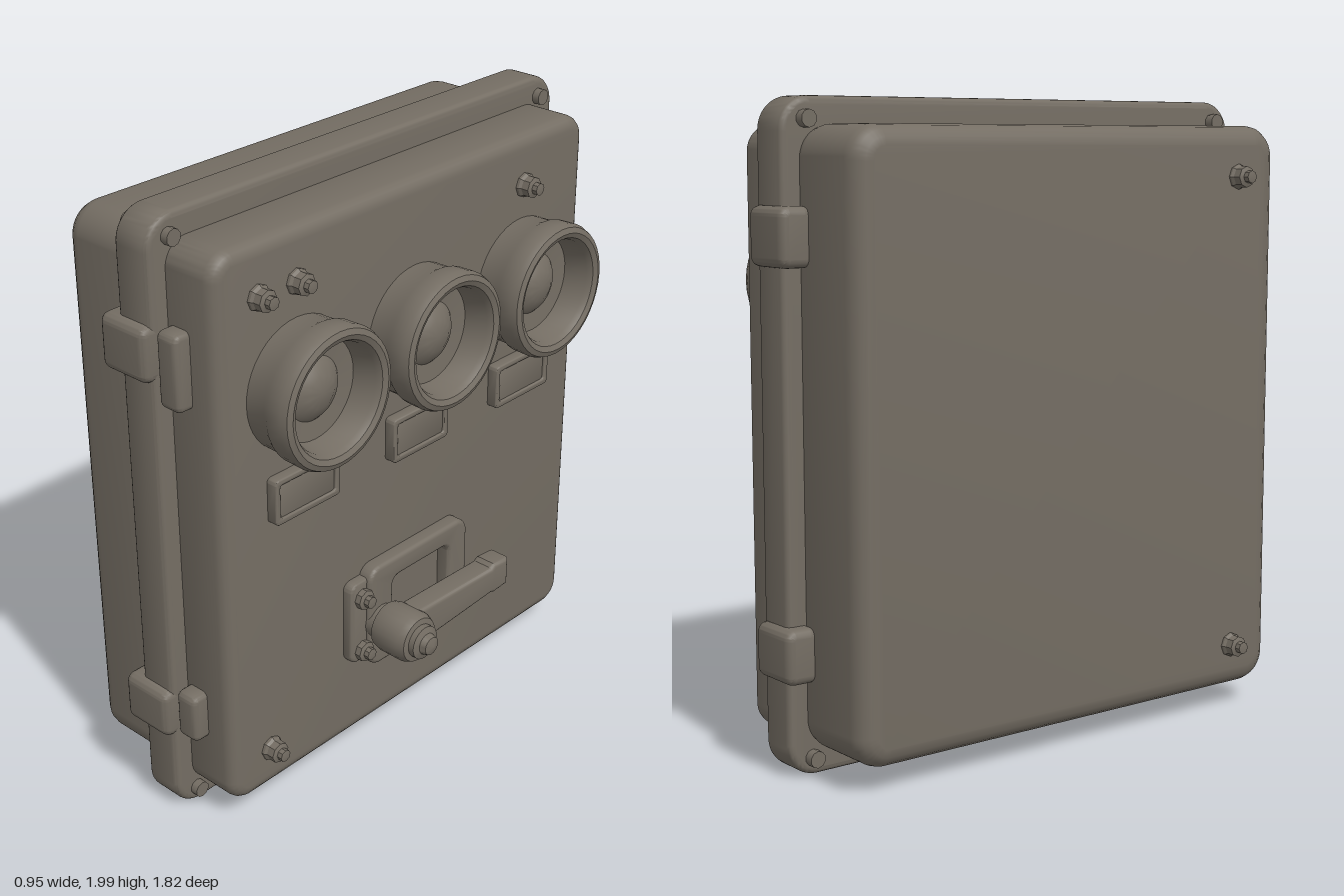
import * as THREE from 'three';
import { toCreasedNormals } from 'three/addons/utils/BufferGeometryUtils.js';

const paint = new THREE.MeshStandardMaterial({ color: 0x746d63 });
paint.name = 'grey brown paint';

// Outline of a rounded rectangle
function roundRect(Type, u0, u1, y0, y1, r) {
  const s = new Type();
  s.moveTo(u0 + r, y0);
  s.lineTo(u1 - r, y0);
  s.absarc(u1 - r, y0 + r, r, -Math.PI / 2, 0);
  s.lineTo(u1, y1 - r);
  s.absarc(u1 - r, y1 - r, r, 0, Math.PI / 2);
  s.lineTo(u0 + r, y1);
  s.absarc(u0 + r, y1 - r, r, Math.PI / 2, Math.PI);
  s.lineTo(u0, y0 + r);
  s.absarc(u0 + r, y0 + r, r, Math.PI, Math.PI * 1.5);
  return s;
}

// Extrude a shape between depths d0 and d1 with rounded edges
function extrude(shape, d0, d1, bevel) {
  const g = new THREE.ExtrudeGeometry(shape, {
    depth: d1 - d0 - 2 * bevel, bevelEnabled: true, bevelSize: bevel, bevelOffset: -bevel,
    bevelThickness: bevel, bevelSegments: 4, curveSegments: 8,
  });
  g.translate(0, 0, d0 + bevel);
  return toCreasedNormals(g, 0.6);
}

const slab = (u0, u1, y0, y1, r, d0, d1, bevel) =>
  extrude(roundRect(THREE.Shape, u0, u1, y0, y1, r), d0, d1, bevel);

// Turned part facing outwards: list of [radius, depth]
function turned(points, segments) {
  const g = new THREE.LatheGeometry(points.map(([r, d]) => new THREE.Vector2(r, d)), segments);
  g.rotateX(Math.PI / 2);
  return toCreasedNormals(g, 0.6);
}

export function createModel() {
  const model = new THREE.Group();
  model.name = 'instrumentCabinet';
  // Built with the panel facing z, then turned to face +x
  const cabinet = new THREE.Group();
  cabinet.name = 'cabinet';
  cabinet.rotation.y = Math.PI / 2;
  model.add(cabinet);

  function add(name, geometry, u = 0, y = 0, d = 0, parent = cabinet) {
    const mesh = new THREE.Mesh(geometry, paint);
    mesh.name = name;
    mesh.position.set(u, y, d);
    parent.add(mesh);
    return mesh;
  }

  // Case, rim and door
  add('backCase', slab(-0.82, 0.82, 0.085, 1.92, 0.1, -0.41, -0.08, 0.06));
  add('rim', slab(-0.88, 0.88, 0.01, 2, 0.1, -0.12, 0.015, 0.02));
  add('door', slab(-0.815, 0.815, 0.085, 1.92, 0.08, -0.03, 0.2, 0.04));

  // Rivets through the rim corners
  const rivet = new THREE.CylinderGeometry(0.026, 0.026, 0.19, 10).rotateX(Math.PI / 2);
  for (const u of [-0.8, 0.8]) {
    for (const y of [0.065, 1.935]) add('rimRivet', rivet, u, y, -0.055);
  }

  // Clamps over the rim, with hinge leaves on the left edge only
  for (const [y0, y1] of [[0.305, 0.47], [1.515, 1.69]]) {
    for (const side of [-1, 1]) {
      const u = side < 0 ? -0.91 : 0.8;
      add('clamp', slab(u, u + 0.11, y0, y1, 0.03, -0.17, 0.015, 0.025));
    }
  }
  for (const [y0, y1] of [[0.31, 0.475], [1.44, 1.68]]) {
    add('hingeLeaf', slab(-0.87, -0.79, y0, y1, 0.025, 0.02, 0.1, 0.018));
  }

  // Bolts on the door and the back
  const bolt = turned([[0.04, 0], [0.04, 0.012], [0.034, 0.02], [0.034, 0.045],
    [0.02, 0.05], [0.02, 0.068], [0, 0.072]], 8);
  for (const [u, y] of [[-0.65, 1.76], [-0.5, 1.76], [0.51, 1.76], [-0.65, 0.23]]) {
    add('doorBolt', bolt, u, y, 0.197);
  }
  for (const y of [0.23, 1.76]) {
    add('backBolt', bolt, -0.64, y, -0.405).rotation.y = Math.PI;
  }

  // Round gauges with recessed dials
  const gauge = turned([[0.205, 0.18], [0.208, 0.27], [0.218, 0.29], [0.22, 0.345], [0.212, 0.365],
    [0.195, 0.372], [0.178, 0.364], [0.168, 0.345], [0.16, 0.265], [0.1, 0.26],
    [0.085, 0.275], [0.05, 0.295], [0, 0.302]], 40);
  for (const u of [-0.5, 0, 0.5]) add('gauge', gauge, u, 1.445, 0);

  // Label plates with a raised border
  for (const u of [-0.5, 0, 0.5]) {
    const w = u === 0 ? 0.128 : 0.135;
    const frame = roundRect(THREE.Shape, u - w, u + w, 1.035, 1.185, 0.015);
    frame.holes.push(roundRect(THREE.Path, u - w + 0.02, u + w - 0.02, 1.055, 1.165, 0.01));
    add('labelFrame', extrude(frame, 0.19, 0.236, 0.005));
    add('labelPlate', slab(u - w + 0.01, u + w - 0.01, 1.045, 1.175, 0.01, 0.19, 0.228, 0.004));
  }

  // Handle: slotted base, side lug, lever and pivot
  const handle = new THREE.Group();
  handle.name = 'handle';
  cabinet.add(handle);
  const base = roundRect(THREE.Shape, -0.25, 0.22, 0.34, 0.705, 0.05);
  base.holes.push(roundRect(THREE.Path, -0.14, 0.13, 0.43, 0.635, 0.03));
  add('handleBase', extrude(base, 0.19, 0.25, 0.014), 0, 0, 0, handle);
  add('handleLug', slab(-0.32, -0.2, 0.38, 0.675, 0.03, 0.19, 0.235, 0.012), 0, 0, 0, handle);
  for (const y of [0.42, 0.615]) add('lugBolt', bolt, -0.27, y, 0.21, handle);

  const lever = new THREE.Shape([[-0.2, 0.435], [0.21, 0.46], [0.225, 0.455], [0.295, 0.46],
    [0.295, 0.56], [0.225, 0.565], [0.21, 0.555], [-0.2, 0.565]].map(([u, y]) => new THREE.Vector2(u, y)));
  add('lever', extrude(lever, 0.285, 0.37, 0.015), 0, 0, 0, handle);
  add('pivot', turned([[0.06, 0.2], [0.06, 0.265], [0.078, 0.275], [0.084, 0.3], [0.084, 0.385],
    [0.074, 0.408], [0.056, 0.412], [0.056, 0.432], [0.036, 0.44], [0.03, 0.46], [0, 0.47]], 24),
  -0.195, 0.5, 0, handle);

  return model;
}
